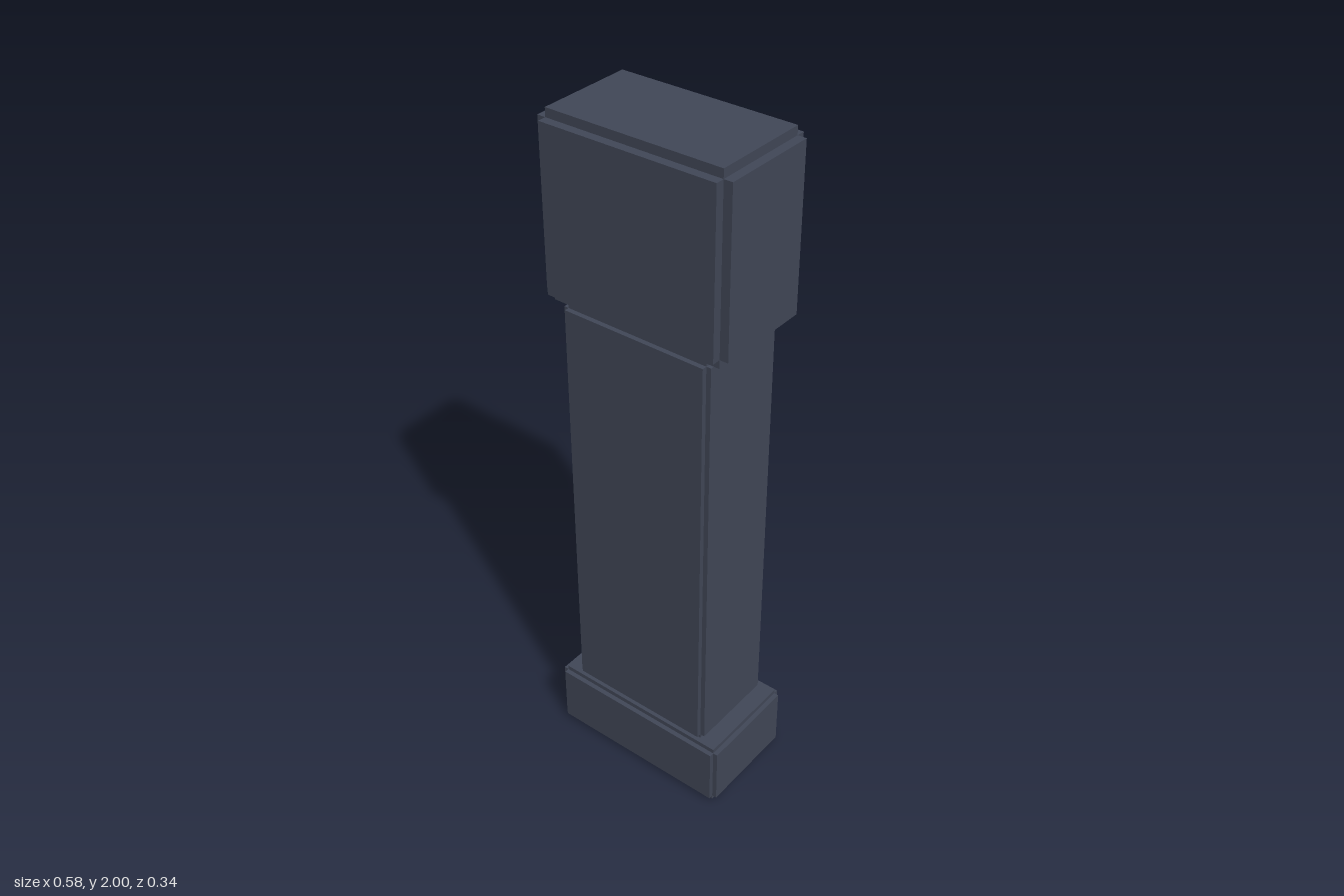
import * as THREE from 'three';

const wood = new THREE.MeshStandardMaterial({ color: 0x414757 });
const glass = new THREE.MeshStandardMaterial({ color: 0x8f9a9d });
const ivory = new THREE.MeshStandardMaterial({ color: 0xbcb7a8 });
const black = new THREE.MeshStandardMaterial({ color: 0x111111 });

// Box mesh given by its min and max corners
function slab(name, [x0, y0, z0], [x1, y1, z1], material) {
  const mesh = new THREE.Mesh(new THREE.BoxGeometry(x1 - x0, y1 - y0, z1 - z0), material);
  mesh.position.set((x0 + x1) / 2, (y0 + y1) / 2, (z0 + z1) / 2);
  mesh.name = name;
  return mesh;
}

// Case section with a square notch along every edge: three crossing slabs,
// each full size along one axis and inset by the notch along the other two
function notchedBox(name, min, max, notch) {
  const group = new THREE.Group();
  group.name = name;
  ['Sides', 'TopBottom', 'FrontBack'].forEach((part, axis) => {
    const lo = min.map((v, i) => (i === axis ? v : v + notch));
    const hi = max.map((v, i) => (i === axis ? v : v - notch));
    group.add(slab(name + part, lo, hi, wood));
  });
  return group;
}

// Disc lying in the dial plane
function disc(name, radius, depth, x, y, z, material, sides) {
  const mesh = new THREE.Mesh(new THREE.CylinderGeometry(radius, radius, depth, sides), material);
  mesh.rotation.x = -Math.PI / 2;
  mesh.position.set(x, y, z);
  mesh.name = name;
  return mesh;
}

// Hand from the dial centre to a tip offset (dx, dy)
function hand(name, dx, dy, width) {
  const length = Math.hypot(dx, dy);
  const geometry = new THREE.BoxGeometry(width, length + 0.008, 0.006);
  geometry.translate(0, length / 2, 0);
  const mesh = new THREE.Mesh(geometry, black);
  mesh.rotation.z = Math.atan2(-dx, dy);
  mesh.name = name;
  return mesh;
}

export function createModel() {
  const model = new THREE.Group();
  model.name = 'longcaseClock';

  // Case
  model.add(
    notchedBox('base', [-0.288, 0, -0.159], [0.288, 0.207, 0.171], 0.014),
    notchedBox('trunk', [-0.23, 0.207, -0.134], [0.23, 1.49, 0.156], 0.014),
    notchedBox('hood', [-0.282, 1.488, -0.159], [0.282, 2, 0.171], 0.025),
    slab('doorGlass', [-0.168, 0.41, -0.143], [0.168, 1.4, -0.13], glass)
  );

  // Dial with hour dots, on the -z side
  const cy = 1.757;
  model.add(disc('dial', 0.182, 0.012, 0, cy, -0.161, ivory, 48));
  for (let i = 0; i < 12; i++) {
    const a = (i * Math.PI) / 6;
    model.add(disc('hourDot', 0.009, 0.004, 0.15 * Math.sin(a), cy + 0.15 * Math.cos(a), -0.167, black, 16));
  }

  // Hands
  const hands = new THREE.Group();
  hands.name = 'hands';
  hands.position.set(0, cy, -0.17);
  hands.add(hand('minuteHand', 0.037, 0.102, 0.009), hand('hourHand', 0.078, -0.045, 0.009));
  model.add(hands);

  return model;
}
